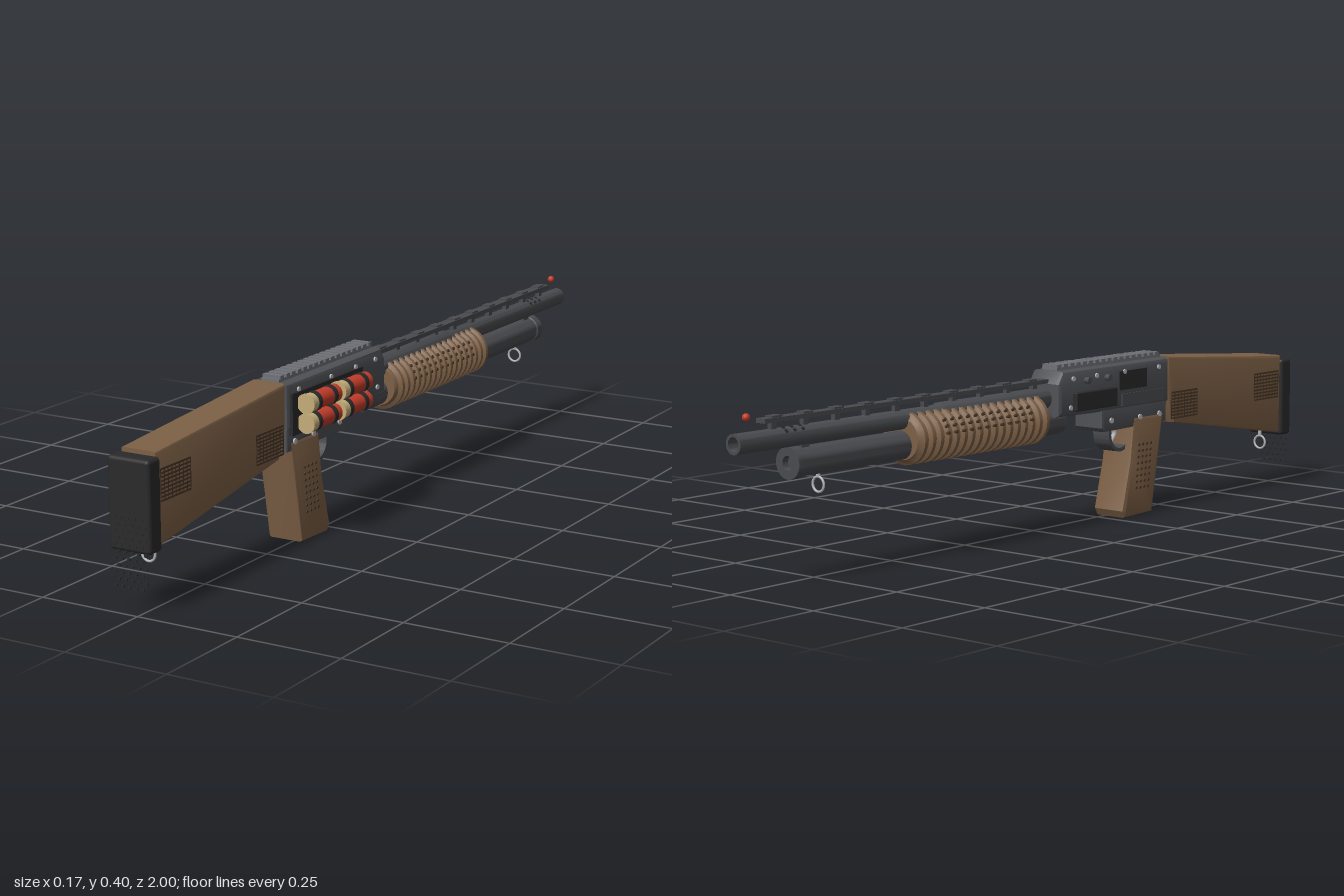
import * as THREE from 'three';
import { mergeGeometries, toCreasedNormals } from 'three/addons/utils/BufferGeometryUtils.js';
import { RoundedBoxGeometry } from 'three/addons/geometries/RoundedBoxGeometry.js';

const mat = (name, color, side = THREE.FrontSide) => {
  const m = new THREE.MeshStandardMaterial({ color, side });
  m.name = name;
  return m;
};

export function createModel() {
  const wood = mat('wood', 0x7d6046), darkWood = mat('dark wood', 0x4a3828);
  const gunmetal = mat('gunmetal', 0x4a4b4f, THREE.DoubleSide), receiverGrey = mat('receiver grey', 0x505156);
  const railGrey = mat('rail grey', 0x707278), black = mat('rubber black', 0x2a2a2b);
  const steel = mat('steel', 0xb4b5b8), red = mat('shell red', 0xc43c2a), brass = mat('brass', 0xc4ad78);

  const root = new THREE.Group();
  const body = new THREE.Group(); // centre plane sits slightly to the right
  body.name = 'body';
  body.position.x = -0.018;
  root.add(body);

  const add = (name, geo, material) => {
    const mesh = new THREE.Mesh(geo, material);
    mesh.name = name;
    body.add(mesh);
    return mesh;
  };
  const box = (w, h, d, x, y, z) => new THREE.BoxGeometry(w, h, d).translate(x, y, z);
  // box given by its limits in y and z
  const slab = (w, y0, y1, z0, z1, x = 0) => box(w, y1 - y0, z1 - z0, x, (y0 + y1) / 2, (z0 + z1) / 2);
  // cylinder along z
  const rod = (r, z0, z1, x, y, n = 24) =>
    new THREE.CylinderGeometry(r, r, z1 - z0, n).rotateX(Math.PI / 2).translate(x, y, (z0 + z1) / 2);
  // short cylinder along x
  const stud = (r, h, x, y, z, n = 8) =>
    new THREE.CylinderGeometry(r, r, h, n).rotateZ(Math.PI / 2).translate(x, y, z);
  // surface of revolution along z; points are [radius, z]
  const turned = (pts, y, n = 28) => toCreasedNormals(
    new THREE.LatheGeometry(pts.map(([r, z]) => new THREE.Vector2(r, z)), n), 0.5).rotateX(Math.PI / 2).translate(0, y, 0);
  // side outline [z, y] extruded across x with bevelled edges
  const profile = (pts, width, bevel) => {
    const shape = new THREE.Shape(pts.map(([z, y]) => new THREE.Vector2(z, y)));
    const geo = new THREE.ExtrudeGeometry(shape, {
      depth: width - 2 * bevel, bevelEnabled: true, bevelThickness: bevel, bevelSize: bevel,
      bevelOffset: -bevel, bevelSegments: 2, curveSegments: 8,
    });
    return toCreasedNormals(geo.translate(0, 0, bevel - width / 2).rotateY(-Math.PI / 2), 0.5);
  };

  // Stock, butt pad and grip
  add('stock', profile([[0.457, 0.392], [0.457, 0.29], [0.484, 0.22], [0.96, 0.143], [0.96, 0.353]], 0.091, 0.008), wood);
  add('buttPad', new RoundedBoxGeometry(0.107, 0.206, 0.046, 3, 0.009).translate(0, 0.24, 0.975), black);
  add('grip', profile([[0.437, 0.25], [0.393, 0.003], [0.28, 0], [0.27, 0.018], [0.302, 0.14], [0.316, 0.25]], 0.093, 0.008), wood);

  // Grid of pad studs, continuing below the pad
  const padDots = [];
  for (let r = 0; r < 11; r++) for (let c = 0; c < 5; c++) {
    padDots.push(new THREE.CylinderGeometry(0.0038, 0.0038, 0.004, 8).rotateX(Math.PI / 2)
      .translate(-0.037 + c * 0.0175 + (r % 2) * 0.009, 0.213 - r * 0.0152, 0.998));
  }
  add('padStuds', mergeGeometries(padDots), black);

  // Checkering on the stock and studs on the grip, both sides
  const checker = [], gripDots = [];
  for (const s of [-1, 1]) {
    for (const [z0, z1, y0, y1] of [[0.835, 0.945, 0.243, 0.312], [0.47, 0.58, 0.232, 0.298]]) {
      for (let i = 0; i < 9; i++) {
        const y = y0 + (y1 - y0) * i / 8;
        checker.push(slab(0.003, y - 0.0022, y + 0.0022, z0, z1, s * 0.0455));
      }
      for (let i = 0; i < 9; i++) {
        const z = z0 + (z1 - z0) * i / 8;
        checker.push(slab(0.002, y0, y1, z - 0.0015, z + 0.0015, s * 0.0455));
      }
    }
    for (let r = 0; r < 8; r++) for (let c = 0; c < 4; c++) {
      gripDots.push(stud(0.0035, 0.004, s * 0.0465, 0.18 - r * 0.0155, 0.383 - c * 0.016 - r * 0.0015));
    }
  }
  add('stockCheckering', mergeGeometries(checker), darkWood);
  add('gripStuds', mergeGeometries(gripDots), darkWood);

  // Receiver, trigger housing and top rail
  add('receiver', profile([[0.457, 0.39], [0.035, 0.39], [0.016, 0.36], [0.016, 0.28], [0.16, 0.277], [0.457, 0.277]], 0.098, 0.012), receiverGrey);
  add('triggerHousing', profile([[0.452, 0.3], [0.452, 0.228], [0.2, 0.225], [0.19, 0.235], [0.19, 0.3]], 0.088, 0.005), receiverGrey);
  add('railBase', slab(0.046, 0.385, 0.397, 0.04, 0.45), railGrey);
  const teeth = [];
  for (let i = 0; i < 17; i++) teeth.push(slab(0.048, 0.395, 0.404, 0.042 + i * 0.0242, 0.057 + i * 0.0242));
  add('railTeeth', mergeGeometries(teeth), railGrey);

  // Trigger guard (a wide half hoop) and trigger
  const hoop = new THREE.Shape();
  hoop.absarc(0.287, 0.212, 0.046, Math.PI, 2 * Math.PI);
  hoop.lineTo(0.333, 0.232);
  hoop.lineTo(0.326, 0.232);
  hoop.absarc(0.287, 0.212, 0.037, 0, Math.PI, true);
  hoop.lineTo(0.248, 0.232);
  hoop.lineTo(0.241, 0.232);
  add('triggerGuard', toCreasedNormals(new THREE.ExtrudeGeometry(hoop, { depth: 0.05, bevelEnabled: false, curveSegments: 14 })
    .translate(0, 0, -0.025).rotateY(-Math.PI / 2), 0.5), gunmetal);
  const triggerPath = new THREE.CatmullRomCurve3([[0.235, 0.285], [0.21, 0.295], [0.19, 0.28]]
    .map(([y, z]) => new THREE.Vector3(0, y, z)));
  add('trigger', new THREE.TubeGeometry(triggerPath, 10, 0.006, 8), steel);

  // Receiver fittings: bolt cover and plates on the right side, pins on both
  add('boltCover', new RoundedBoxGeometry(0.016, 0.046, 0.16, 2, 0.003).translate(-0.054, 0.313, 0.15), black);
  add('portPlate', slab(0.008, 0.325, 0.372, 0.25, 0.36, -0.048), black);
  add('lowerPlate', slab(0.006, 0.285, 0.315, 0.26, 0.43, -0.049), gunmetal);
  add('boltHandle', mergeGeometries([stud(0.008, 0.02, -0.052, 0.362, 0.12, 14), stud(0.008, 0.02, -0.052, 0.362, 0.2, 14)]), gunmetal);
  const pins = [];
  for (const s of [-1, 1]) {
    for (const [y, z] of [[0.37, 0.07], [0.37, 0.16], [0.37, 0.27], [0.37, 0.41], [0.3, 0.06], [0.3, 0.115]]) pins.push(stud(0.006, 0.006, s * 0.05, y, z, 12));
    for (const [y, z] of [[0.252, 0.225], [0.25, 0.34], [0.25, 0.42]]) pins.push(stud(0.007, 0.006, s * 0.045, y, z, 12));
  }
  add('pins', mergeGeometries(pins), steel);

  // Side carrier with four shells
  add('carrierPlate', slab(0.01, 0.268, 0.366, 0.135, 0.445, 0.051), black);
  for (const y of [0.341, 0.295]) for (const z of [0.158, 0.296]) {
    add('shellCase', rod(0.021, z, z + 0.1, 0.076, y), red);
    add('shellBase', mergeGeometries([rod(0.0215, z + 0.098, z + 0.122, 0.076, y), rod(0.0235, z + 0.12, z + 0.126, 0.076, y)]), brass);
    add('shellLoop', mergeGeometries([rod(0.0232, z + 0.02, z + 0.034, 0.076, y), rod(0.0232, z + 0.088, z + 0.102, 0.076, y)]), black);
  }

  // Barrel, with its thicker rear part, and the magazine tube below
  const by = 0.324, my = 0.266;
  add('barrel', turned([[0.0, 0.03], [0.027, 0.03], [0.027, -0.36], [0.0225, -0.37], [0.0225, -1], [0.016, -1], [0.016, -0.9], [0, -0.9]].reverse(), by), gunmetal);
  add('magazineTube', turned([[0, 0.067], [0.033, 0.067], [0.033, -0.815], [0.036, -0.817], [0.036, -0.842], [0.016, -0.842], [0.016, -0.825], [0, -0.825]].reverse(), my), gunmetal);
  add('barrelBand', slab(0.02, 0.285, 0.315, -0.81, -0.785), gunmetal);
  const ports = [];
  for (const s of [-1, 1]) for (let i = 0; i < 3; i++) for (const a of [0.25, 0.8]) {
    ports.push(new THREE.CylinderGeometry(0.0045, 0.0045, 0.003, 8).translate(0, 0.0225, 0)
      .rotateZ(s * a).translate(0, by, -0.81 - i * 0.025));
  }
  add('barrelPorts', mergeGeometries(ports), black);

  // Sighting rib on posts, with a red bead
  const rib = [slab(0.028, 0.361, 0.371, -0.92, 0.02)];
  for (let i = 0; i < 10; i++) {
    rib.push(slab(0.012, 0.34, 0.363, -0.03 - i * 0.096, -0.015 - i * 0.096));
    rib.push(slab(0.022, 0.37, 0.375, -0.05 - i * 0.094, -0.02 - i * 0.094));
  }
  add('sightRib', mergeGeometries(rib), gunmetal);
  add('sightBead', new THREE.SphereGeometry(0.009, 12, 8).translate(0, 0.378, -0.962), red);

  // Ribbed sliding fore-end
  const ridges = [[0, -0.485], [0.052, -0.485]];
  const step = 0.455 / 17;
  for (let i = 0; i < 17; i++) {
    const z = -0.48 + i * step;
    ridges.push([0.056, z], [0.0655, z + 0.005], [0.0655, z + 0.015], [0.056, z + 0.02]);
  }
  ridges.push([0.052, -0.02], [0, -0.02]);
  add('foreEnd', turned(ridges, 0).scale(1, 0.94, 1).translate(0, 0.28, 0), wood);
  const gripStuds = [];
  for (const s of [-1, 1]) for (let r = 0; r < 3; r++) for (let i = 0; i < 12; i++) {
    gripStuds.push(stud(0.004, 0.008, s * 0.0635, 0, 0).rotateZ(s * (0.15 + r * 0.25)).translate(0, 0.28, -0.1 - i * step));
  }
  add('foreEndStuds', mergeGeometries(gripStuds), darkWood);

  // Sling rings
  for (const [name, y, z] of [['frontSlingRing', 0.209, -0.75], ['rearSlingRing', 0.117, 0.93]]) {
    add(name, new THREE.TorusGeometry(0.017, 0.003, 8, 24).translate(0, y, z), steel);
    add(name + 'Stud', new THREE.CylinderGeometry(0.005, 0.005, 0.02, 10).translate(0, y + 0.027, z), steel);
  }
  return root;
}
